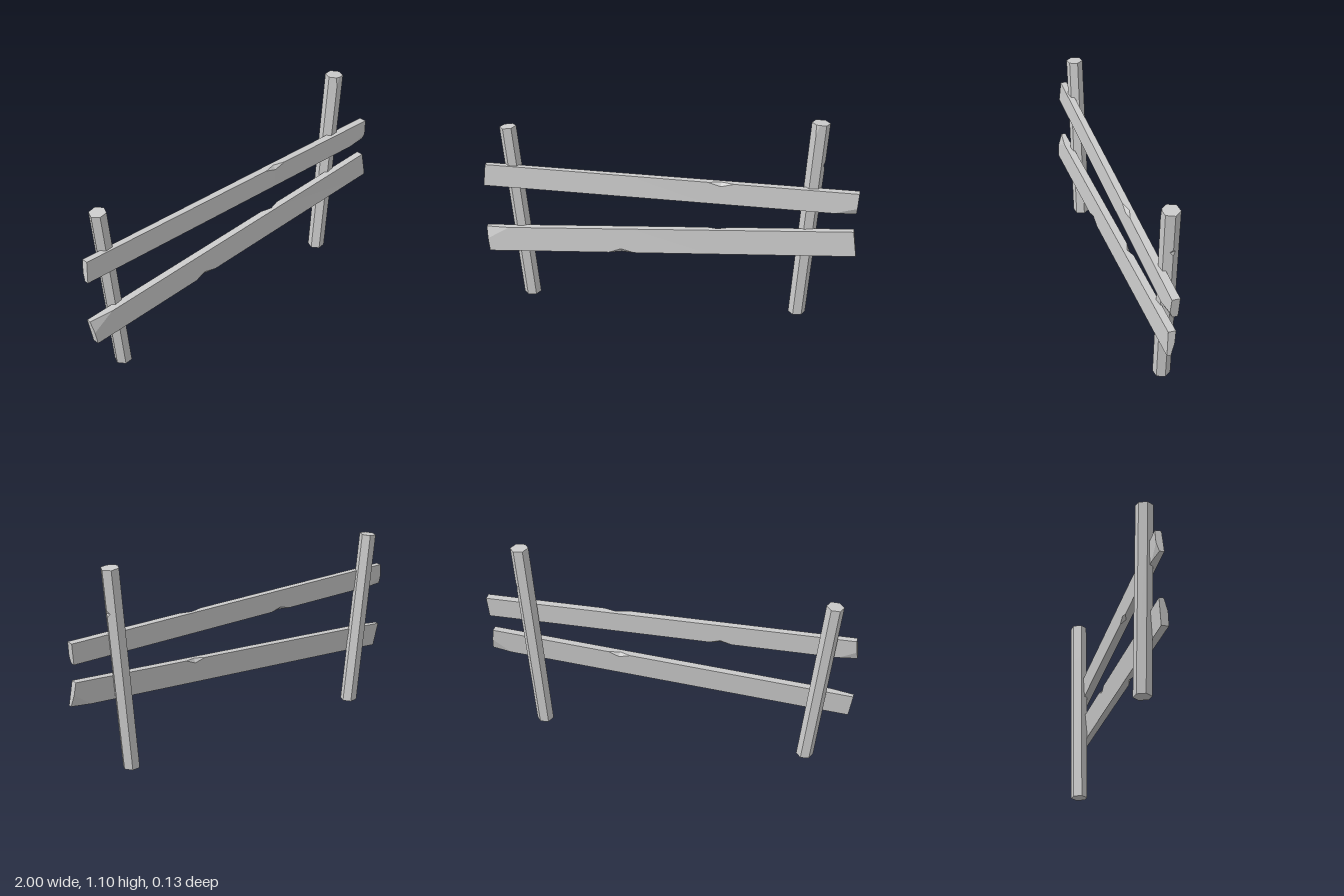
import * as THREE from 'three';

const material = new THREE.MeshStandardMaterial({ color: 0xcccccc, flatShading: true });

// Lofts a straight beam between two rings of corners (clockwise about the axis).
// Each chip cuts one corner edge at fraction t: a and b are the shares of the
// faces before and after the corner that are cut away, w is the chip's half length.
function beam(name, startRing, endRing, chips) {
  const stops = [0, 1];
  for (const { t, w } of chips) stops.push(t - w, t, t + w);
  const stations = [...new Set(stops.filter(t => t >= 0 && t <= 1))].sort((p, q) => p - q);

  const n = startRing.length;
  const rings = stations.map(t => {
    const c = startRing.map((p, i) => p.clone().lerp(endRing[i], t));
    const ring = [];
    for (let i = 0; i < n; i++) {
      let a = 0, b = 0;
      for (const chip of chips) {
        if (chip.corner !== i) continue;
        const k = Math.max(0, 1 - Math.abs(t - chip.t) / chip.w);
        a += chip.a * k;
        b += chip.b * k;
      }
      ring.push(c[i].clone().lerp(c[(i + n - 1) % n], a), c[i].clone().lerp(c[(i + 1) % n], b));
    }
    return ring;
  });

  const pos = [];
  const tri = (p, q, r) => {
    const area = q.clone().sub(p).cross(r.clone().sub(p)).length();
    if (area > 1e-8) for (const v of [p, q, r]) pos.push(v.x, v.y, v.z);
  };
  const m = n * 2;
  const centre = ring => ring.reduce((s, p) => s.add(p), new THREE.Vector3()).divideScalar(m);
  const first = rings[0], last = rings[rings.length - 1];
  const c0 = centre(first), c1 = centre(last);
  for (let j = 0; j < m; j++) {
    const k = (j + 1) % m;
    for (let s = 0; s < rings.length - 1; s++) {
      const p = rings[s], q = rings[s + 1];
      tri(p[j], q[j], p[k]);
      tri(q[j], q[k], p[k]);
    }
    tri(c0, first[j], first[k]);
    tri(c1, last[k], last[j]);
  }
  const geometry = new THREE.BufferGeometry();
  geometry.setAttribute('position', new THREE.Float32BufferAttribute(pos, 3));
  geometry.computeVertexNormals();
  const mesh = new THREE.Mesh(geometry, material);
  mesh.name = name;
  return mesh;
}

// Six-sided ring for a post; tilt slopes the cut along x
function hexRing(x, y, z, r, tilt = 0) {
  return Array.from({ length: 6 }, (_, i) => {
    const a = (i * 60 - 8) * Math.PI / 180;
    const dx = r * Math.cos(a);
    return new THREE.Vector3(x + dx, y + dx * tilt, z + r * Math.sin(a));
  });
}

// Rail end: corners 0 top front, 1 top back, 2 bottom back, 3 bottom front
function railRing([tx, ty, tzFront, tzBack], [bx, by, bzFront, bzBack]) {
  return [
    new THREE.Vector3(tx, ty, tzFront), new THREE.Vector3(tx, ty, tzBack),
    new THREE.Vector3(bx, by, bzBack), new THREE.Vector3(bx, by, bzFront),
  ];
}

export function createModel() {
  const group = new THREE.Group();
  group.name = 'fence';

  // Leaning posts
  group.add(beam('rightPost',
    hexRing(-0.77, 0, -0.013, 0.046), hexRing(-0.868, 0.975, -0.017, 0.045, 0.1), []));
  group.add(beam('leftPost',
    hexRing(0.7, 0, -0.026, 0.046), hexRing(0.783, 1.098, -0.023, 0.048, -0.06), [
      { t: 0.79, w: 0.017, corner: 0, a: 0.35, b: 0.35 },
      { t: 1, w: 0.05, corner: 2, a: 0.3, b: 0.15 },
    ]));

  // Rails with chipped edges and corners
  group.add(beam('upperRail',
    railRing([-0.99, 0.767, 0.035, 0.002], [-1, 0.65, 0.045, 0.008]),
    railRing([1, 0.743, 0.038, -0.004], [0.99, 0.628, 0.046, 0.002]), [
      { t: 0.64, w: 0.035, corner: 0, a: 0.16, b: 0.45 },
      { t: 0.36, w: 0.03, corner: 2, a: 0.16, b: 0.45 },
      { t: 1, w: 0.06, corner: 3, a: 0.35, b: 0.3 },
      { t: 0, w: 0.05, corner: 2, a: 0.4, b: 0.35 },
    ]));
  group.add(beam('lowerRail',
    railRing([-1, 0.405, 0.054, 0.014], [-0.98, 0.272, 0.065, 0.028]),
    railRing([0.982, 0.53, 0.045, 0.006], [1, 0.395, 0.055, 0.02]), [
      { t: 0.37, w: 0.035, corner: 3, a: 0.45, b: 0.16 },
      { t: 0.64, w: 0.03, corner: 1, a: 0.45, b: 0.16 },
      { t: 0, w: 0.065, corner: 0, a: 0.48, b: 0.4 },
      { t: 1, w: 0.055, corner: 2, a: 0.5, b: 0.4 },
    ]));

  return group;
}
